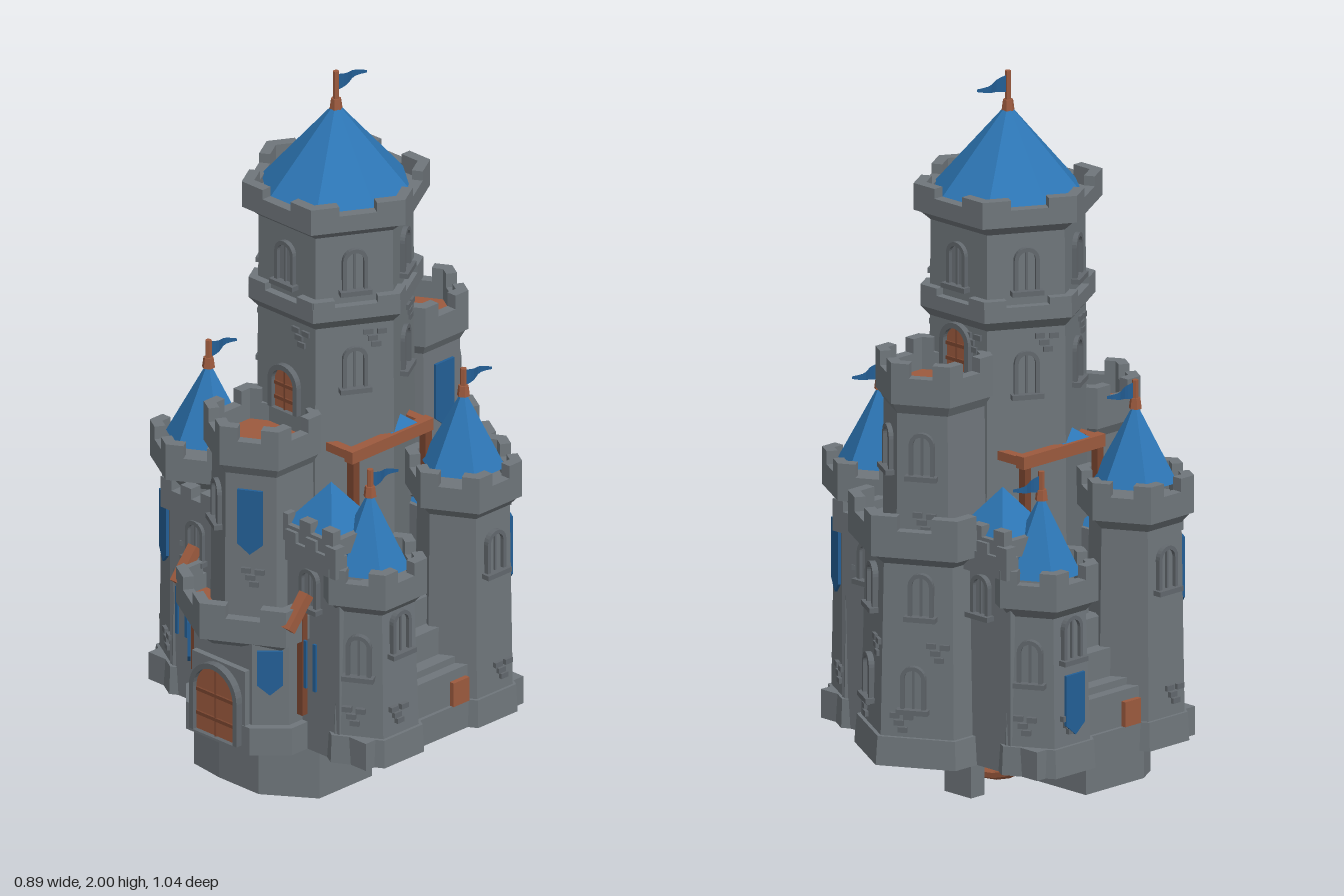
import * as THREE from 'three';

const mat = (name, color, side = THREE.FrontSide) => {
  const m = new THREE.MeshStandardMaterial({ color, side });
  m.name = name;
  return m;
};
const C30 = Math.cos(Math.PI / 6);

export function createModel() {
  const stone = mat('stone', 0x6f767b), dark = mat('trimStone', 0x62686d);
  const blue = mat('roofBlue', 0x2d76b5, THREE.DoubleSide), cloth = mat('bannerBlue', 0x235f96, THREE.DoubleSide);
  const wood = mat('wood', 0x9c5a3e), darkWood = mat('darkWood', 0x7a452f);
  const root = new THREE.Group();
  root.name = 'castle';

  // ---- helpers ----
  const add = (p, name, geo, m, x = 0, y = 0, z = 0, ry = 0) => {
    const g = geo.index ? geo.toNonIndexed() : geo;
    g.computeVertexNormals();
    const mesh = new THREE.Mesh(g, m);
    mesh.name = name;
    mesh.position.set(x, y, z);
    mesh.rotation.y = ry;
    p.add(mesh);
    return mesh;
  };
  const group = (name, x = 0, z = 0, ry = 0) => {
    const g = new THREE.Group();
    g.name = name;
    g.position.set(x, 0, z);
    g.rotation.y = ry;
    root.add(g);
    return g;
  };
  const box = (p, name, m, x0, x1, y0, y1, z0, z1) => add(p, name,
    new THREE.BoxGeometry(x1 - x0, y1 - y0, z1 - z0), m, (x0 + x1) / 2, (y0 + y1) / 2, (z0 + z1) / 2);
  // hexagonal section from (r0, y0) to (r1, y1)
  const hex = (p, name, r0, y0, r1, y1, m = stone) =>
    add(p, name, new THREE.CylinderGeometry(r1, r0, y1 - y0, 6), m, 0, (y0 + y1) / 2, 0);
  const prism = (p, name, pts, y0, y1, m = stone) => {
    const s = new THREE.Shape(pts.map(([x, z]) => new THREE.Vector2(x, -z)));
    const g = new THREE.ExtrudeGeometry(s, { depth: y1 - y0, bevelEnabled: false });
    return add(p, name, g.rotateX(-Math.PI / 2), m, 0, y0, 0);
  };
  // empty frame on side k of a hexagon, facing out along +z
  const face = (p, k, r, u, y) => {
    const a = Math.PI / 6 + k * Math.PI / 3, g = new THREE.Group();
    g.name = 'wallDetail';
    g.position.set(Math.sin(a) * r * C30 + Math.cos(a) * u, y, Math.cos(a) * r * C30 - Math.sin(a) * u);
    g.rotation.y = a;
    p.add(g);
    return g;
  };
  // flared parapet with merlons at the corners and an optional deck
  const battlement = (p, rw, R, y0, y1, deck = null) => {
    const h = y1 - y0, t = 0.035, ym = y0 + h * 0.68;
    hex(p, 'corbel', rw, y0 - 0.03, R, y0 + 0.01);
    const prof = [[R - t, y0], [R, y0], [R, ym], [R - t, ym], [R - t, y0]].map(q => new THREE.Vector2(...q));
    add(p, 'parapet', new THREE.LatheGeometry(prof, 6), stone);
    const w = R * 0.3;
    for (let k = 0; k < 6; k++) for (const s of [-1, 1])
      add(face(p, k, R, s * (R / 2 - w / 2), 0), 'merlon', new THREE.BoxGeometry(w, y1 - ym + 0.01, t * C30),
        stone, 0, (ym + y1) / 2, -t * C30 / 2);
    hex(p, 'deck', R - t, y0, R - t, y0 + 0.025, deck || stone);
  };
  const archPath = (T, w, h) => {
    const s = new T();
    s.moveTo(-w, 0); s.lineTo(w, 0); s.lineTo(w, h - w);
    s.absarc(0, h - w, w, 0, Math.PI, false);
    s.lineTo(-w, 0);
    return s;
  };
  const windowOn = (f, w = 0.024, h = 0.11) => {
    const s = archPath(THREE.Shape, w + 0.011, h + 0.011);
    s.holes.push(archPath(THREE.Path, w, h));
    add(f, 'windowFrame', new THREE.ExtrudeGeometry(s, { depth: 0.022, bevelEnabled: false, curveSegments: 6 }), dark, 0, 0, -0.008);
    add(f, 'windowPane', new THREE.ShapeGeometry(archPath(THREE.Shape, w, h), 6), stone, 0, 0, 0.003);
    add(f, 'windowSill', new THREE.BoxGeometry(w * 2 + 0.04, 0.014, 0.035), dark, 0, -0.005, 0.008);
    add(f, 'windowBar', new THREE.BoxGeometry(0.006, h, 0.006), dark, 0, h / 2, 0.006);
  };
  const doorOn = (f, w, h) => {
    const s = archPath(THREE.Shape, w + 0.015, h + 0.015);
    s.holes.push(archPath(THREE.Path, w, h));
    add(f, 'doorFrame', new THREE.ExtrudeGeometry(s, { depth: 0.03, bevelEnabled: false, curveSegments: 8 }), dark, 0, 0, -0.01);
    add(f, 'door', new THREE.ShapeGeometry(archPath(THREE.Shape, w, h), 8), wood, 0, 0, 0.006);
    add(f, 'doorSeam', new THREE.BoxGeometry(0.005, h, 0.006), darkWood, 0, h / 2, 0.008);
    for (const y of [0.25, 0.6]) add(f, 'doorBand', new THREE.BoxGeometry(w * 1.9, 0.01, 0.006), darkWood, 0, h * y, 0.009);
  };
  const bannerOn = (f, w = 0.07, h = 0.2) => {
    const s = new THREE.Shape([[-w / 2, 0], [-w / 2, 0.03 - h], [0, -h], [w / 2, 0.03 - h], [w / 2, 0]].map(q => new THREE.Vector2(...q)));
    add(f, 'banner', new THREE.ExtrudeGeometry(s, { depth: 0.008, bevelEnabled: false }), cloth, 0, 0, 0.004);
  };
  const bricksOn = f => [[0, 0], [0.026, 0.018], [-0.012, 0.02], [0.01, -0.019]].forEach(([x, y]) =>
    add(f, 'brick', new THREE.BoxGeometry(0.026, 0.015, 0.018), dark, x, y, 0));
  const roof = (p, r, y0, y1, sides, poleTop) => {
    add(p, 'roof', new THREE.ConeGeometry(r, y1 - y0, sides), blue, 0, (y0 + y1) / 2, 0);
    add(p, 'finial', new THREE.CylinderGeometry(0.014, 0.018, 0.03, 6), wood, 0, y1 - 0.005, 0);
    add(p, 'flagPole', new THREE.CylinderGeometry(0.009, 0.009, poleTop - y1 + 0.02, 6), wood, 0, (poleTop + y1 - 0.02) / 2, 0);
  };
  // waving pennant that streams toward -z
  const flag = (x, y, z, len = 0.11) => {
    const g = new THREE.PlaneGeometry(1, 0.05, 8, 1), a = g.attributes.position;
    for (let i = 0; i < a.count; i++) {
      const t = a.getX(i) + 0.5;
      a.setXYZ(i, 0.012 * Math.sin(t * 7) * t, a.getY(i) * (1 - t * 0.85), -t * len);
    }
    add(root, 'flag', g, cloth, x, y, z);
  };

  // ---- central keep ----
  const keep = group('keep', 0, 0, Math.PI / 6);
  hex(keep, 'keepWall', 0.225, 0.16, 0.215, 1.62);
  hex(keep, 'ledgeFlare', 0.215, 1.33, 0.243, 1.36);
  hex(keep, 'ledge', 0.243, 1.36, 0.243, 1.4);
  for (let k = 0; k < 6; k++) {
    windowOn(face(keep, k, 0.215, 0, 1.44));
    for (const s of [-1, 1]) add(face(keep, k, 0.243, s * 0.09, 1.405), 'ledgeBlock', new THREE.BoxGeometry(0.06, 0.03, 0.03), stone, 0, 0, -0.015);
    if (k % 3 !== 2) windowOn(face(keep, k, 0.215, 0, 1.15));
    bricksOn(face(keep, k, 0.215, 0.05, 1.29));
  }
  battlement(keep, 0.215, 0.262, 1.63, 1.7);
  roof(keep, 0.208, 1.67, 1.91, 8, 2);
  flag(0, 1.965, 0);
  doorOn(face(keep, 5, 0.215, 0, 1.06), 0.04, 0.12);
  doorOn(face(keep, 2, 0.215, 0, 1.2), 0.04, 0.12);

  // ---- front and back towers ----
  for (const [name, z, top] of [['frontTower', 0.28, 0.98], ['backTower', -0.28, 1.16]]) {
    const t = group(name, 0, z, z > 0 ? 0 : Math.PI);
    hex(t, 'towerWall', 0.145, 0.4, 0.14, top);
    battlement(t, 0.14, 0.163, top, top + 0.11, wood);
    windowOn(face(t, 5, 0.14, 0, top - 0.2));
    bannerOn(face(t, z > 0 ? 0 : 4, 0.142, 0, top - 0.07), 0.07, 0.19);
    if (z < 0) windowOn(face(t, 0, 0.14, 0, top - 0.2));
    bricksOn(face(t, 0, 0.143, 0, top - 0.33));
  }

  // ---- gatehouse ----
  const gate = group('gatehouse');
  prism(gate, 'gateWall', [[-0.18, 0.1], [-0.18, 0.36], [-0.11, 0.43], [0.11, 0.43], [0.18, 0.36], [0.18, 0.1]], 0.16, 0.48);
  prism(gate, 'gatePlinth', [[-0.2, 0.1], [-0.2, 0.37], [-0.12, 0.45], [0.12, 0.45], [0.2, 0.37], [0.2, 0.1]], 0.16, 0.24);
  const balcony = group('gateBalcony', 0, 0.28);
  battlement(balcony, 0.19, 0.24, 0.49, 0.59, wood);
  const gateFront = new THREE.Group();
  gateFront.name = 'gateDoor';
  gateFront.position.set(0, 0.18, 0.45);
  gate.add(gateFront);
  box(gate, 'gatePorch', stone, -0.1, 0.1, 0.16, 0.4, 0.4, 0.448);
  doorOn(gateFront, 0.075, 0.2);
  for (const s of [-1, 1]) {
    const f = new THREE.Group();
    f.name = 'gateBanner';
    f.position.set(s * 0.147, 0.465, 0.4);
    f.rotation.y = s * Math.PI / 4;
    gate.add(f);
    bannerOn(f, 0.07, 0.13);
    const b = box(gate, 'gateStrut', wood, s * 0.21 - 0.015, s * 0.21 + 0.015, 0.53, 0.64, 0.345, 0.375);
    b.rotation.x = -0.7;
    box(gate, 'strutPost', darkWood, s * 0.2 - 0.01, s * 0.2 + 0.01, 0.27, 0.58, 0.32, 0.34);
    for (const dx of [0, 0.035]) box(gate, 'hangingCloth', cloth, s * (0.225 + dx) - 0.005, s * (0.225 + dx) + 0.005, 0.36, 0.5, 0.34, 0.346);
  }

  // ---- back bastion ----
  const bastion = group('backBastion', 0, -0.28, Math.PI);
  hex(bastion, 'bastionWall', 0.205, 0.16, 0.19, 0.76);
  hex(bastion, 'bastionPlinth', 0.222, 0.16, 0.215, 0.24);
  battlement(bastion, 0.19, 0.24, 0.75, 0.86, wood);
  for (const k of [0, 5]) {
    windowOn(face(bastion, k, 0.201, -0.01, 0.32));
    windowOn(face(bastion, k, 0.195, 0.01, 0.58));
    bricksOn(face(bastion, k, 0.197, 0.05, 0.48));
    bricksOn(face(bastion, k, 0.203, -0.05, 0.28));
  }

  // ---- corner towers, alike across the centre ----
  for (const turn of [0, Math.PI]) {
    const s = turn ? -1 : 1;
    const tall = group('tallCornerTower', -0.305 * s, 0.178 * s, turn);
    hex(tall, 'towerWall', 0.138, 0.16, 0.128, 0.8);
    hex(tall, 'towerPlinth', 0.15, 0.16, 0.146, 0.24);
    battlement(tall, 0.128, 0.163, 0.8, 0.9);
    roof(tall, 0.118, 0.88, 1.1, 6, 1.16);
    flag(-0.305 * s, 1.13, 0.178 * s, 0.1);
    bannerOn(face(tall, 5, 0.134, 0, 0.72));
    windowOn(face(tall, 4, 0.131, 0, 0.6));
    windowOn(face(tall, 0, 0.131, 0, 0.62));
    for (const k of [0, 4, 5]) bricksOn(face(tall, k, 0.137, 0.02, 0.3));

    const low = group('lowCornerTower', 0.305 * s, 0.178 * s, turn);
    hex(low, 'towerWall', 0.138, 0.16, 0.122, 0.63);
    hex(low, 'towerPlinth', 0.15, 0.16, 0.146, 0.24);
    battlement(low, 0.122, 0.158, 0.63, 0.73);
    roof(low, 0.112, 0.7, 0.92, 6, 0.98);
    flag(0.305 * s, 0.945, 0.178 * s, 0.1);
    windowOn(face(low, 0, 0.13, 0, 0.42));
    windowOn(face(low, 1, 0.126, 0, 0.48));
    if (s < 0) bannerOn(face(low, 1, 0.137, 0, 0.44), 0.07, 0.17);
    for (const k of [0, 1]) bricksOn(face(low, k, 0.137, -0.02, 0.3));

    // square turret beside the low tower
    const turret = group('squareTurret', 0.205 * s, 0.225 * s, turn);
    box(turret, 'turretWall', stone, -0.09, 0.09, 0.3, 0.77, -0.08, 0.08);
    box(turret, 'turretLedge', stone, -0.105, 0.105, 0.76, 0.81, -0.095, 0.1);
    for (const x of [-0.085, 0, 0.085]) box(turret, 'turretMerlon', stone, x - 0.02, x + 0.02, 0.81, 0.84, 0.07, 0.1);
    const g = new THREE.ConeGeometry(0.125, 0.12, 4).rotateY(Math.PI / 4);
    add(turret, 'turretRoof', g, blue, 0, 0.865, 0);

    // lean-to roof beside the tall tower
    const hall = group('sideHall', -0.19 * s, 0.225 * s, turn);
    box(hall, 'hallWall', stone, -0.1, 0.1, 0.16, 0.72, -0.09, 0.09);
    const r2 = new THREE.ConeGeometry(0.11, 0.08, 4).rotateY(Math.PI / 4);
    add(hall, 'hallRoof', r2, blue, 0, 0.76, 0);
  }

  // ---- curtain walls and side courts ----
  for (const turn of [0, Math.PI]) {
    const c = group('curtain', 0, 0, turn);
    for (const s of [-1, 1]) {
      box(c, 'curtainWall', stone, Math.min(s * 0.12, s * 0.32), Math.max(s * 0.12, s * 0.32), 0.16, 0.72, 0.26, 0.31);
      box(c, 'curtainLedge', stone, s * 0.235 - 0.095, s * 0.235 + 0.095, 0.71, 0.77, 0.29, 0.335);
      for (const x of [0.16, 0.235, 0.31]) box(c, 'curtainMerlon', stone, s * x - 0.02, s * x + 0.02, 0.77, 0.8, 0.3, 0.335);
      const f = new THREE.Group();
      f.name = 'curtainWindow';
      f.position.set(s * 0.215, 0.59, 0.312);
      c.add(f);
      windowOn(f, 0.022, 0.1);
    }
    // court floor, wall and steps on one side
    box(c, 'courtBase', stone, 0, 0.41, 0.16, 0.24, -0.3, 0.3);
    box(c, 'courtWall', stone, 0.35, 0.4, 0.24, 0.34, -0.11, 0.11);
    for (let i = 0; i < 4; i++) box(c, 'courtStep', stone, 0.1, 0.37 - i * 0.04, 0.24, 0.36 + i * 0.08, -0.1 + i * 0.015, 0.1 - i * 0.015);
    box(c, 'crate', wood, 0.395, 0.415, 0.24, 0.31, -0.09, -0.03);

    // raised beam with posts and canopy
    box(c, 'beam', wood, 0.2, 0.23, 0.965, 1.0, -0.14, 0.17);
    for (const z of [-0.125, 0.15]) {
      box(c, 'beamPost', darkWood, 0.203, 0.226, 0.8, 0.97, z - 0.012, z + 0.012);
      box(c, 'beamTie', wood, 0.1, 0.225, 0.97, 0.995, z - 0.014, z + 0.014);
    }
    add(c, 'canopy', new THREE.ConeGeometry(0.07, 0.04, 4).rotateY(Math.PI / 4), blue, 0.17, 1.02, -0.04);
  }

  // ---- foundation, pier and wheel under the floor ----
  const under = group('foundation');
  prism(under, 'foundationRock', [[-0.225, 0.07], [-0.225, 0.29], [-0.19, 0.35], [-0.08, 0.365], [0.07, 0.365], [0.205, 0.27], [0.205, 0.07]], 0, 0.165);
  box(under, 'pier', stone, -0.03, 0.07, 0, 0.165, -0.17, -0.12);
  hex(under, 'wheelPit', 0.22, 0.156, 0.22, 0.17, darkWood);
  const wheel = group('wheel', 0, -0.025);
  for (const z of [-0.07, 0.07]) add(wheel, 'wheelRim', new THREE.TorusGeometry(0.25, 0.014, 6, 32), wood, 0, 0.3, z);
  for (let i = 0; i < 7; i++) {
    const a = (i - 3) * 0.24, b = box(wheel, 'wheelSlat', wood, -0.012, 0.012, 0, 0.02, -0.07, 0.07);
    b.position.set(Math.sin(a) * 0.25, 0.3 - Math.cos(a) * 0.25, 0);
    b.rotation.z = a;
  }
  return root;
}
